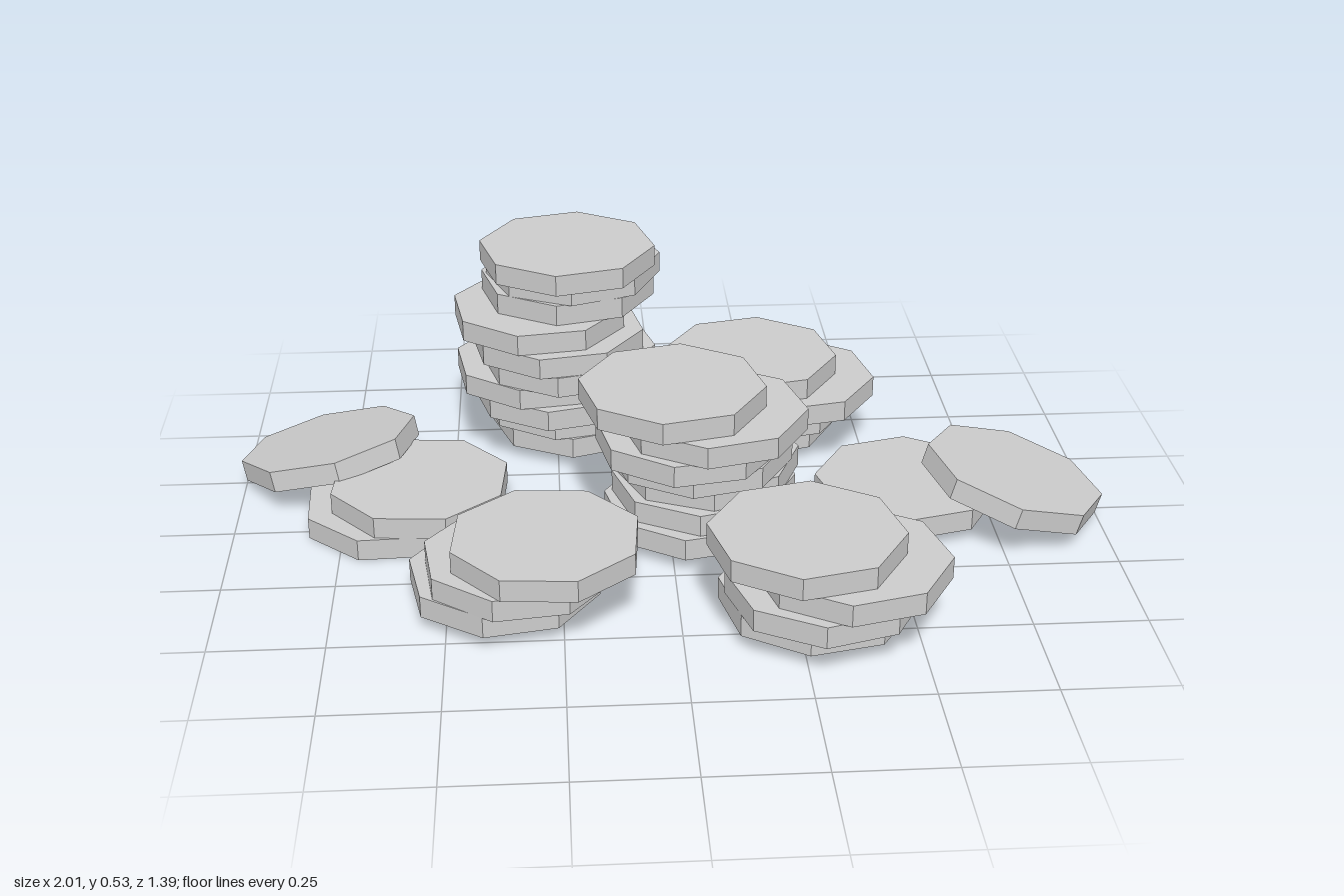
import * as THREE from 'three';

const RADIUS = 0.211;
const THICK = 0.05;
const material = new THREE.MeshStandardMaterial({
  color: 0xcccccc, flatShading: true, side: THREE.DoubleSide,
});

// Eight-sided cap shape: a rim wall and a top face, hollow underneath
const coinGeometry = new THREE.LatheGeometry([
  new THREE.Vector2(RADIUS, -THICK / 2),
  new THREE.Vector2(RADIUS, THICK / 2),
  new THREE.Vector2(0, THICK / 2),
], 8);

// One coin; turn is in degrees, clockwise seen from above
function makeCoin(name, x, y, z, turn) {
  const coin = new THREE.Mesh(coinGeometry, material);
  coin.name = name;
  coin.position.set(x, y, z);
  coin.rotation.y = -THREE.MathUtils.degToRad(turn);
  return coin;
}

// A pile of flat coins, listed from the bottom up as [x, z, turn]
function makeStack(name, baseY, coins) {
  const stack = new THREE.Group();
  stack.name = name;
  coins.forEach(([x, z, turn], i) => {
    stack.add(makeCoin('coin', x, baseY + THICK * (i + 0.5), z, turn));
  });
  return stack;
}

// A coin leaning with the given rise along x and z
function makeLeaningCoin(name, x, y, z, turn, slopeX, slopeZ) {
  const coin = makeCoin(name, x, y, z, turn);
  const normal = new THREE.Vector3(-slopeX, 1, -slopeZ).normalize();
  const lean = new THREE.Quaternion().setFromUnitVectors(new THREE.Vector3(0, 1, 0), normal);
  coin.quaternion.premultiply(lean);
  return coin;
}

export function createModel() {
  const model = new THREE.Group();
  model.name = 'coinPile';
  const base = 0.034;

  // Tall stack at the back
  model.add(makeStack('tallStack', base, [
    [-0.2, -0.483, 4], [-0.22, -0.48, 10], [-0.243, -0.43, 8], [-0.287, -0.445, 14],
    [-0.218, -0.405, 8], [-0.245, -0.4, 12], [-0.288, -0.425, 14], [-0.217, -0.485, 8],
    [-0.203, -0.485, 2], [-0.217, -0.425, 8],
  ]));

  // Middle stack
  model.add(makeStack('middleStack', base, [
    [0.06, 0.03, 10], [0.08, 0.01, 6], [0.09, -0.013, 0], [0.07, 0.02, 8],
    [0.04, 0.062, 12], [0.097, 0.073, 8], [0.005, 0.052, 9],
  ]));

  // Short stacks around the middle
  model.add(makeStack('backStack', base, [
    [0.235, -0.46, 7], [0.265, -0.44, 10], [0.322, -0.41, 11], [0.23, -0.432, 10],
  ]));
  model.add(makeStack('frontStack', base, [
    [0.29, 0.435, 10], [0.3, 0.485, 6], [0.357, 0.487, 8], [0.262, 0.462, 9],
  ]));
  model.add(makeStack('sideStack', base, [
    [-0.376, 0.325, 12], [-0.343, 0.347, 15], [-0.285, 0.365, 27],
  ]));

  // Low coins at both ends, each with a coin leaning on it
  model.add(makeStack('leftFlatCoin', base, [[0.557, -0.03, 8]]));
  model.add(makeLeaningCoin('leftLeaningCoin', 0.796, 0.102, 0.025, 8, -0.28, 0));
  model.add(makeStack('rightFlatCoins', 0.003, [[-0.635, -0.06, 20], [-0.573, -0.06, 27]]));
  model.add(makeLeaningCoin('rightLeaningCoin', -0.795, 0.085, -0.263, -10, 0.2, 0.15));

  return model;
}
